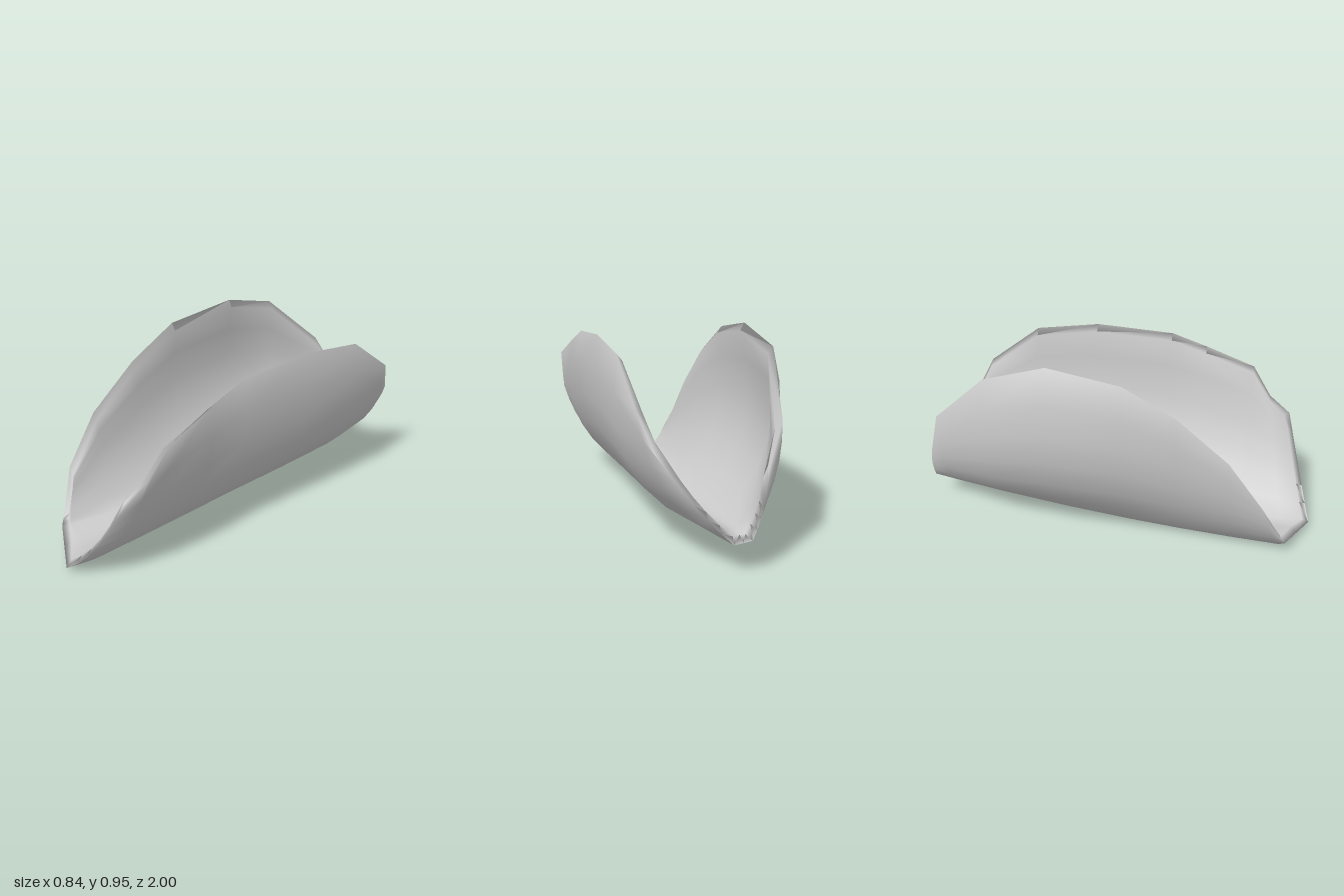
import * as THREE from 'three';

// Stations run front to back: rim points and wall bulge of each side, and the fold's z
const rightRim = [[-0.21, 0.1, 0.87], [-0.3, 0.31, 0.77], [-0.33, 0.55, 0.6], [-0.345, 0.76, 0.35], [-0.36, 0.9, 0.1],
  [-0.35, 0.95, -0.26], [-0.375, 0.87, -0.56], [-0.3, 0.6, -0.86], [-0.21, 0.41, -0.94]];
const leftRim = [[0.38, 0.49, 0.84], [0.4, 0.57, 0.73], [0.42, 0.72, 0.63], [0.39, 0.82, 0.38], [0.37, 0.885, 0.2],
  [0.355, 0.905, -0.2], [0.335, 0.86, -0.53], [0.31, 0.66, -0.8], [0.25, 0.49, -0.88]];
const rightBulge = [0.03, 0.08, 0.1, 0.11, 0.14, 0.18, 0.18, 0.11, 0.03];
const leftBulge = [0.08, 0.09, 0.1, 0.12, 0.14, 0.165, 0.19, 0.13, 0.03];
const foldZ = [1, 0.86, 0.62, 0.35, 0.1, -0.25, -0.6, -0.88, -1];
const STATIONS = foldZ.length, WALL = 6, COLS = 2 * WALL + 3;

// Point on a side wall: straight from fold to rim, pushed outwards in the middle
function wallPoint(fold, rim, bulge, side, t) {
  const dx = rim[0] - fold[0], dy = rim[1] - fold[1];
  const b = bulge * 4 * t * (1 - t) * (1.12 - 0.24 * t);
  const tz = fold[2] < -0.9 ? t * t : t;
  return [fold[0] + dx * t + side * dy * b, fold[1] + dy * t - side * dx * b, fold[2] + (rim[2] - fold[2]) * tz];
}

// One cross-section of the outer skin, from the right rim to the left rim
function section(i) {
  const z = foldZ[i], back = (1 - z) / 2;
  const y = 0.003 + 0.039 * (0.8 - z) ** 2;
  const r = i === 0 ? [-0.195, 0.06, 0.89] : [-0.175 + 0.05 * back, y + 0.032 - 0.02 * back, z];
  const l = [0.07 - 0.115 * back, i === 0 ? 0.025 : y, z];
  const points = [];
  for (let k = WALL; k >= 0; k--) points.push(wallPoint(r, rightRim[i], rightBulge[i], -1, k / WALL));
  points.push(r.map((v, n) => (v + l[n]) / 2));
  for (let k = 0; k <= WALL; k++) points.push(wallPoint(l, leftRim[i], leftBulge[i], 1, k / WALL));
  return points;
}

function shellGeometry() {
  const outer = [], index = [];
  for (let i = 0; i < STATIONS; i++) outer.push(...section(i).flat());
  const id = (i, j) => i * COLS + j, count = STATIONS * COLS;
  for (let i = 0; i < STATIONS - 1; i++) {
    for (let j = 0; j < COLS - 1; j++) {
      const a = id(i, j), b = id(i + 1, j), c = id(i + 1, j + 1), d = id(i, j + 1);
      index.push(a, b, c, a, c, d);
    }
  }
  const skin = new THREE.BufferGeometry();
  skin.setAttribute('position', new THREE.Float32BufferAttribute(outer, 3));
  skin.setIndex(index);
  skin.computeVertexNormals();

  // Inner skin: outer skin moved inwards, and drawn back from the outline to bevel the rim
  const { position, normal } = skin.attributes;
  const inner = [], p = new THREE.Vector3(), n = new THREE.Vector3(), q = new THREE.Vector3();
  for (let i = 0; i < STATIONS; i++) {
    for (let j = 0; j < COLS; j++) {
      p.fromBufferAttribute(position, id(i, j));
      n.fromBufferAttribute(normal, id(i, j));
      const ci = THREE.MathUtils.clamp(i, 1, STATIONS - 2), cj = THREE.MathUtils.clamp(j, 1, COLS - 2);
      const edge = ci !== i || cj !== j;
      q.fromBufferAttribute(position, id(ci, cj)).sub(p).normalize();
      p.addScaledVector(n, edge ? -0.03 : -0.04);
      if (edge) p.addScaledVector(q, 0.03);
      inner.push(p.x, p.y, p.z);
    }
  }
  const all = [...index];
  for (let k = 0; k < index.length; k += 3) all.push(index[k] + count, index[k + 2] + count, index[k + 1] + count);

  // Rim: joins the two skins around the whole outline
  const loop = [];
  for (let i = 0; i < STATIONS - 1; i++) loop.push(id(i, 0));
  for (let j = 0; j < COLS - 1; j++) loop.push(id(STATIONS - 1, j));
  for (let i = STATIONS - 1; i > 0; i--) loop.push(id(i, COLS - 1));
  for (let j = COLS - 1; j > 0; j--) loop.push(id(0, j));
  loop.forEach((a, k) => {
    const b = loop[(k + 1) % loop.length];
    all.push(b, a, a + count, b, a + count, b + count);
  });

  const geometry = new THREE.BufferGeometry();
  geometry.setAttribute('position', new THREE.Float32BufferAttribute([...outer, ...inner], 3));
  geometry.setIndex(all);
  geometry.computeVertexNormals();
  return geometry;
}

export function createModel() {
  const group = new THREE.Group();
  group.name = 'foldedShell';
  const grey = new THREE.MeshStandardMaterial({ color: 0xcccccc });
  grey.name = 'light grey';
  const shell = new THREE.Mesh(shellGeometry(), grey);
  shell.name = 'shell';
  group.add(shell);
  return group;
}
